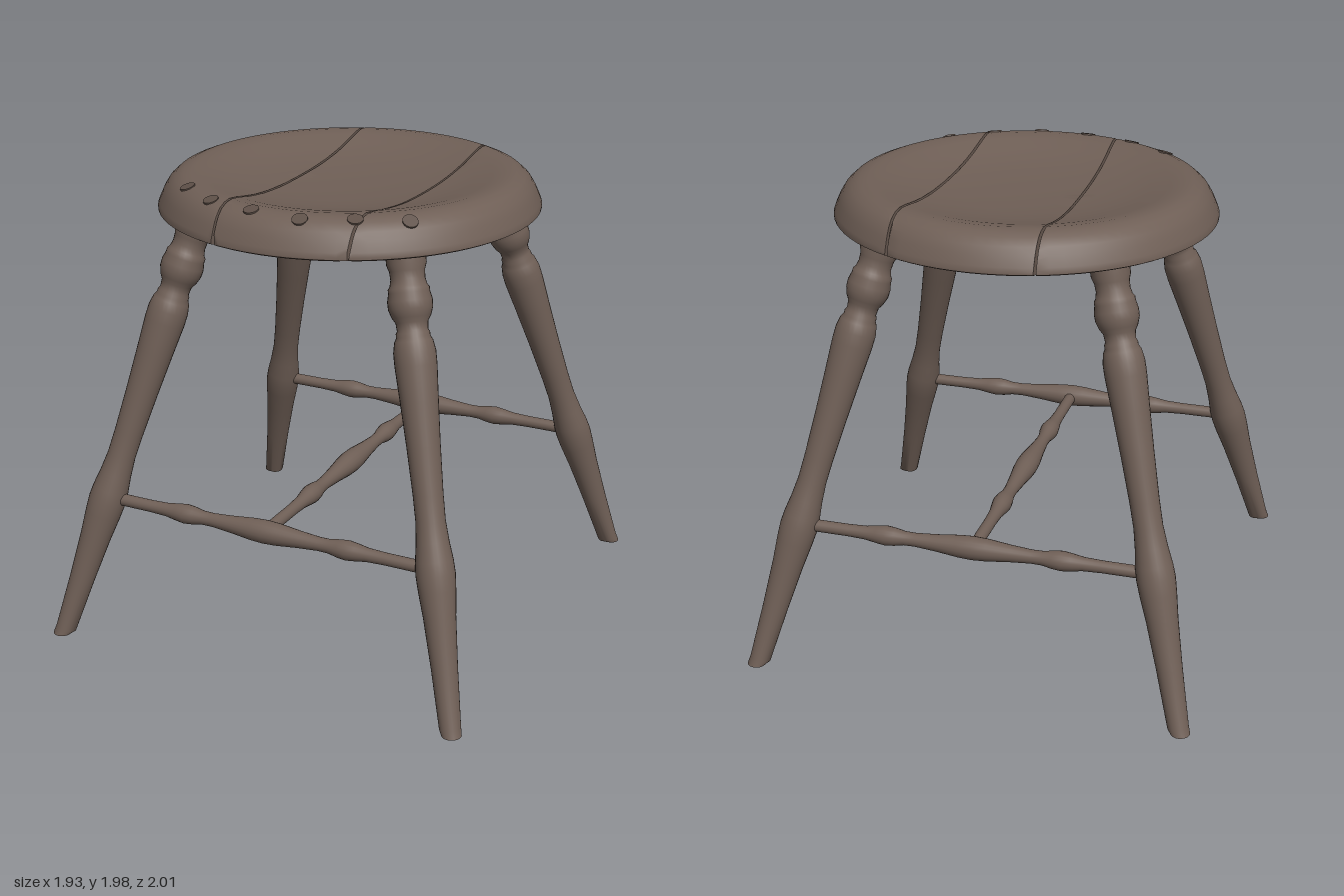
import * as THREE from 'three';
import { toCreasedNormals } from 'three/addons/utils/BufferGeometryUtils.js';

const SEAT_R = 0.81;
// Seat section: dished top with a rounded rim, then the underside (radius, height)
const TOP = [[0, 1.9], [0.15, 1.902], [0.3, 1.908], [0.42, 1.921], [0.52, 1.94], [0.6, 1.96], [0.66, 1.97],
  [0.7, 1.966], [0.735, 1.952], [0.765, 1.925], [0.785, 1.893], [0.803, 1.853], [SEAT_R, 1.835]];
const BOTTOM = [[0, 1.79], [0.3, 1.79], [0.58, 1.795], [0.7, 1.81], [0.795, 1.818], [SEAT_R, 1.826]];

// Linear lookup in a section
function heightAt(section, r) {
  for (let i = 1; i < section.length; i++) {
    const [r0, y0] = section[i - 1], [r1, y1] = section[i];
    if (r <= r1) return y0 + (y1 - y0) * (r - r0) / (r1 - r0);
  }
  return section[section.length - 1][1];
}
const tilt = (z) => -0.008 * z;

// One plank: a polar grid whose points are held between two nearly straight side lines
function plankGeometry(leftLine, rightLine) {
  const seg = 80;
  const rings = [...TOP.map(([r]) => [r, TOP]), ...BOTTOM.map(([r]) => [r, BOTTOM]).reverse()];
  const pos = [], index = [];
  rings.forEach(([radius, section], i) => {
    for (let j = 0; j < seg; j++) {
      const a = (j / seg) * Math.PI * 2;
      let z = radius * Math.sin(a);
      const x = THREE.MathUtils.clamp(radius * Math.cos(a), leftLine(z), rightLine(z));
      const zMax = Math.sqrt(Math.max(0, SEAT_R * SEAT_R - x * x));
      z = THREE.MathUtils.clamp(z, -zMax, zMax);
      pos.push(x, heightAt(section, Math.min(Math.hypot(x, z), SEAT_R)) + tilt(z), z);
      if (i < rings.length - 1) {
        const k = (j + 1) % seg, p = i * seg, q = p + seg;
        index.push(p + j, p + k, q + j, p + k, q + k, q + j);
      }
    }
  });
  const g = new THREE.BufferGeometry();
  g.setAttribute('position', new THREE.Float32BufferAttribute(pos, 3));
  g.setIndex(index);
  return toCreasedNormals(g, 0.7);
}

// Turned leg (radius, height), from foot to the tenon in the seat
const LEG = [[0, -0.03], [0.041, -0.03], [0.044, 0.02], [0.054, 0.25], [0.066, 0.44], [0.076, 0.54], [0.08, 0.6],
  [0.077, 0.65], [0.067, 0.72], [0.06, 0.8], [0.061, 0.9], [0.068, 1.08], [0.077, 1.25], [0.085, 1.38],
  [0.085, 1.43], [0.077, 1.47], [0.068, 1.485], [0.068, 1.5], [0.062, 1.51], [0.065, 1.54], [0.078, 1.56],
  [0.089, 1.59], [0.09, 1.62], [0.083, 1.65], [0.083, 1.665], [0.075, 1.675], [0.069, 1.7], [0.071, 1.73],
  [0.08, 1.755], [0.08, 1.86], [0, 1.86]];
function legGeometry(sx, sz) {
  const foot = new THREE.Vector3(0.92 * sx, 0, 0.957 * sz);
  const axis = new THREE.Vector3(0.475 * sx, 1.8, 0.47 * sz).sub(foot);
  const stretch = axis.length() / 1.8;
  const g = new THREE.LatheGeometry(LEG.map(([r, y]) => new THREE.Vector2(r, y * stretch)), 28);
  g.applyQuaternion(new THREE.Quaternion().setFromUnitVectors(new THREE.Vector3(0, 1, 0), axis.normalize()));
  g.translate(foot.x, 0, foot.z);
  // Saw the foot level with the floor
  const p = g.attributes.position;
  for (let i = 0; i < p.count; i++) p.setY(i, Math.max(0, p.getY(i)));
  g.deleteAttribute('uv');
  return toCreasedNormals(g, 0.7);
}

// Turned stretcher: mirrored half profile (radius, distance from the middle)
const STRETCHER = [[0.05, 0], [0.047, 0.06], [0.036, 0.16], [0.029, 0.25], [0.03, 0.3], [0.038, 0.34],
  [0.042, 0.38], [0.037, 0.42], [0.029, 0.47], [0.026, 0.55], [0.026, 0.78]];
function stretcherGeometry() {
  const half = STRETCHER.slice(1);
  const pts = [...half.map(([r, d]) => [r, -d]).reverse(), ...STRETCHER];
  return new THREE.LatheGeometry(pts.map(([r, d]) => new THREE.Vector2(r, d)), 20);
}

export function createModel() {
  const group = new THREE.Group();
  const wood = new THREE.MeshStandardMaterial({ color: 0x6f5f56 });
  wood.name = 'brown wood';
  const darkWood = new THREE.MeshStandardMaterial({ color: 0x5e5048 });
  darkWood.name = 'dark end grain';
  const add = (name, geometry, material = wood) => {
    const mesh = new THREE.Mesh(geometry, material);
    mesh.name = name;
    group.add(mesh);
    return mesh;
  };

  // Seat of three planks with narrow open joints
  const gap = 0.005;
  const jointA = (z) => -0.238 + 0.022 * z;
  const jointB = (z) => 0.358 - 0.01 * z;
  add('rightSeatPlank', plankGeometry(() => -1, (z) => jointA(z) - gap));
  add('middleSeatPlank', plankGeometry((z) => jointA(z) + gap, (z) => jointB(z) - gap));
  add('leftSeatPlank', plankGeometry((z) => jointB(z) + gap, () => 1));

  // Round marks along the front rim, above and below
  const up = new THREE.Vector3(0, 1, 0);
  for (const [x, z] of [[-0.48, 0.525], [-0.3, 0.645], [-0.085, 0.7], [0.135, 0.71], [0.335, 0.63], [0.52, 0.525]]) {
    for (const [section, shift, name] of [[TOP, 1, 'rimPlug'], [BOTTOM, 0.92, 'undersidePlug']]) {
      const px = x * shift, pz = z * shift, r = Math.hypot(px, pz);
      const slope = (heightAt(section, r + 0.025) - heightAt(section, r - 0.025)) / 0.05;
      const plug = add(name, new THREE.CylinderGeometry(0.032, 0.032, 0.008, 20), darkWood);
      plug.position.set(px, heightAt(section, r) + tilt(pz), pz);
      plug.quaternion.setFromUnitVectors(up, new THREE.Vector3(-slope * px / r, 1, -slope * pz / r).normalize());
    }
  }

  // Four splayed legs
  for (const sx of [-1, 1]) for (const sz of [-1, 1]) {
    add((sz > 0 ? 'front' : 'back') + (sx > 0 ? 'Left' : 'Right') + 'Leg', legGeometry(sx, sz));
  }

  // Front and back stretchers joined by a middle one
  for (const sz of [-1, 1]) {
    const bar = add(sz > 0 ? 'frontStretcher' : 'backStretcher', stretcherGeometry());
    bar.rotation.z = Math.PI / 2;
    bar.position.set(0, 0.613, 0.787 * sz);
  }
  const middle = add('middleStretcher', stretcherGeometry());
  middle.rotation.x = Math.PI / 2;
  middle.position.y = 0.613;

  return group;
}
